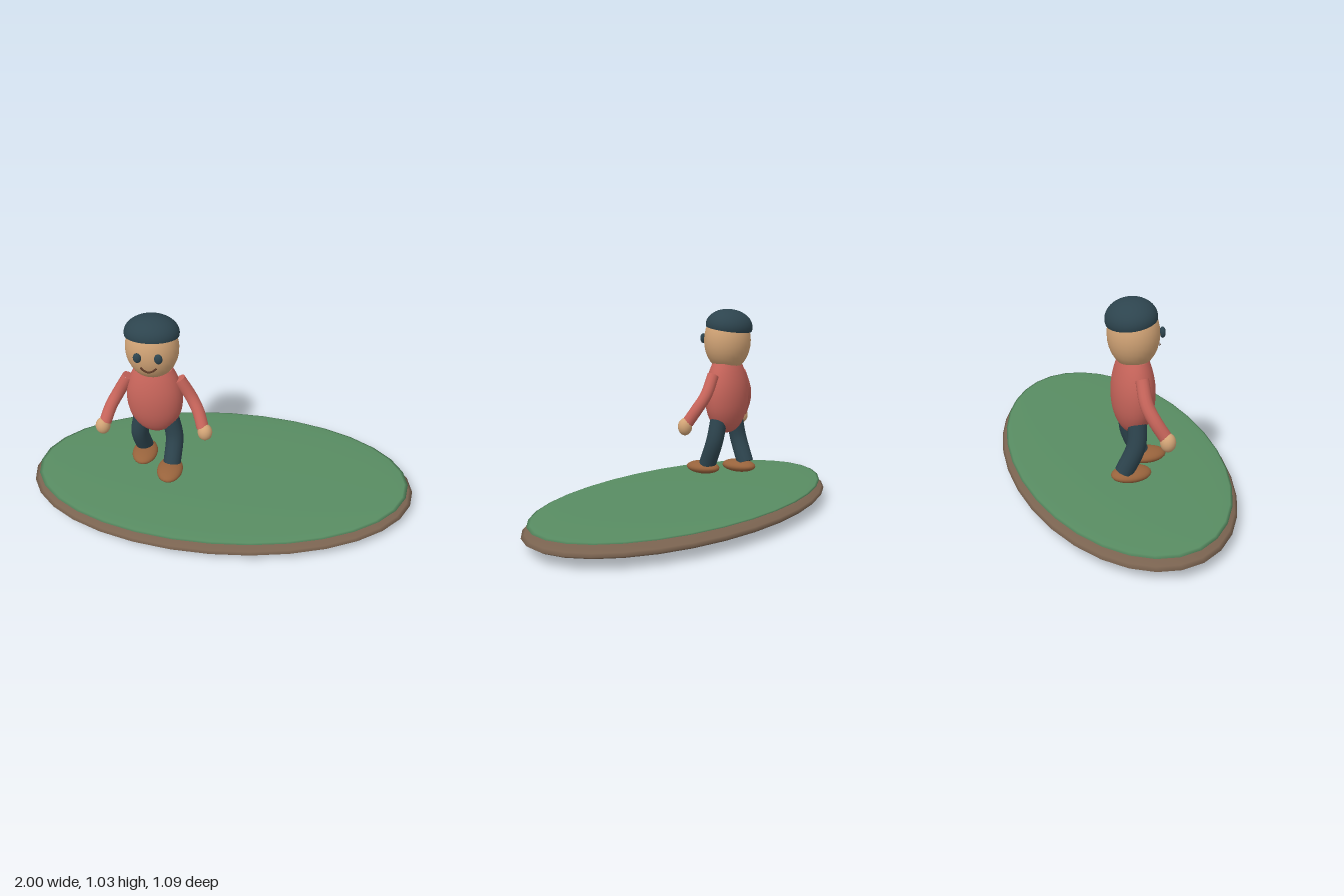
import * as THREE from 'three';

const mat = (name, color, side = THREE.FrontSide) => {
  const m = new THREE.MeshStandardMaterial({ color, side });
  m.name = name;
  return m;
};

export function createModel() {
  const soil = mat('brown soil', 0x7a6350);
  const grass = mat('green grass', 0x588c62);
  const red = mat('red shirt', 0xc8655b);
  const skin = mat('tan skin', 0xd2a476);
  const navy = mat('dark blue cloth', 0x2d444e, THREE.DoubleSide);
  const leather = mat('brown leather', 0x98633c);
  const dark = mat('dark brown mouth', 0x5a3826);

  const model = new THREE.Group();
  model.name = 'walkerOnIsland';

  const add = (parent, name, geometry, material) => {
    const mesh = new THREE.Mesh(geometry, material);
    mesh.name = name;
    parent.add(mesh);
    return mesh;
  };
  const ellipsoid = (parent, name, material, pos, radii, ws = 32, hs = 16) => {
    const mesh = add(parent, name, new THREE.SphereGeometry(1, ws, hs), material);
    mesh.position.set(...pos);
    mesh.scale.set(...radii);
    return mesh;
  };
  // Curved limb with flat ends
  const limb = (parent, name, material, points, radius) => {
    const curve = new THREE.CatmullRomCurve3(points.map(p => new THREE.Vector3(...p)));
    const group = new THREE.Group();
    group.name = name;
    parent.add(group);
    add(group, name + 'Tube', new THREE.TubeGeometry(curve, 16, radius, 14), material);
    for (const t of [0, 1]) {
      const cap = add(group, name + 'End', new THREE.CircleGeometry(radius, 14), material);
      const p = curve.getPointAt(t);
      cap.position.copy(p);
      // caps face outward along the curve
      const out = curve.getTangentAt(t).multiplyScalar(t ? 1 : -1);
      cap.quaternion.setFromUnitVectors(new THREE.Vector3(0, 0, 1), out);
    }
  };

  // Island
  ellipsoid(model, 'soilBase', soil, [0, 0.06, 0], [1, 0.06, 0.545]);
  ellipsoid(model, 'grassTop', grass, [0, 0.105, 0], [0.972, 0.017, 0.521]);

  // Figure, standing off centre
  const figure = new THREE.Group();
  figure.name = 'figure';
  figure.position.x = -0.332;
  model.add(figure);

  // Torso: rounded below, flat at the neck
  const profile = new THREE.SplineCurve([
    [0.001, 0.375], [0.05, 0.386], [0.095, 0.425], [0.128, 0.49], [0.14, 0.565],
    [0.135, 0.635], [0.116, 0.7], [0.094, 0.747],
  ].map(p => new THREE.Vector2(...p))).getPoints(20);
  const torso = add(figure, 'torso', new THREE.LatheGeometry(profile, 32), red);
  torso.scale.z = 0.71;
  const neck = add(figure, 'collarTop', new THREE.CircleGeometry(0.094, 32), red);
  neck.rotation.x = -Math.PI / 2;
  neck.position.y = 0.747;
  neck.scale.y = 0.71;

  // Head and tilted cap
  ellipsoid(figure, 'head', skin, [0, 0.865, -0.001], [0.13, 0.161, 0.119]);
  const cap = add(figure, 'cap',
    new THREE.SphereGeometry(1, 32, 14, 0, Math.PI * 2, 0, Math.PI * 0.55), navy);
  cap.position.set(0, 0.94, -0.012);
  cap.scale.set(0.133, 0.087, 0.118);
  cap.rotation.x = -0.17;

  // Mouth
  const smile = new THREE.QuadraticBezierCurve3(
    new THREE.Vector3(-0.038, 0.816, 0.11),
    new THREE.Vector3(0, 0.782, 0.133),
    new THREE.Vector3(0.038, 0.816, 0.11));
  add(figure, 'mouth', new THREE.TubeGeometry(smile, 12, 0.005, 8), dark);

  // Eyes, arms, hands, legs and shoes; the left leg steps forward
  for (const [s, side] of [[1, 'left'], [-1, 'right']]) {
    ellipsoid(figure, side + 'Eye', navy, [s * 0.05, 0.874, 0.119], [0.02, 0.026, 0.013], 16, 10);

    limb(figure, side + 'Arm', red, [
      [s * 0.125, 0.69, 0], [s * 0.182, 0.59, 0.004],
      [s * 0.22, 0.522, 0.032], [s * 0.246, 0.452, 0.072],
    ], 0.031);
    ellipsoid(figure, side + 'Hand', skin, [s * 0.258, 0.432, 0.08], [0.037, 0.045, 0.036], 20, 12);

    const z = s > 0 ? 1 : -1;
    limb(figure, side + 'Leg', navy, [
      [s * 0.07, 0.46, 0], [s * 0.092, 0.34, z * 0.012], [s * 0.083, 0.21, z * 0.065],
    ], 0.045);
    ellipsoid(figure, side + 'Shoe', leather, [s * 0.076, 0.188, s > 0 ? 0.099 : -0.029],
      [0.066, 0.033, 0.098], 24, 14);
  }
  return model;
}
